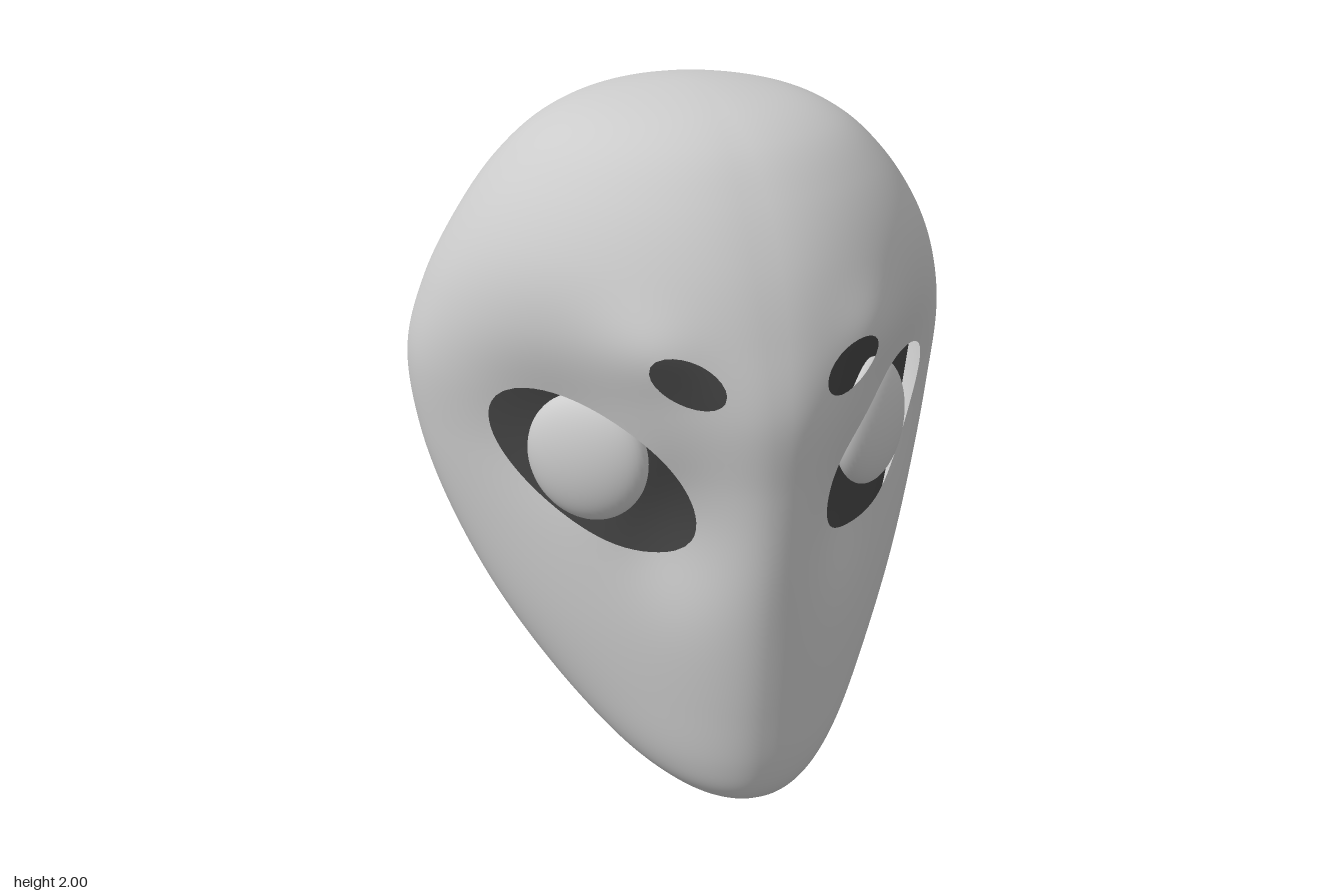
import * as THREE from 'three';
import { mergeVertices } from 'three/addons/utils/BufferGeometryUtils.js';

// Horizontal sections: [height, half width, front z, back z, z of widest point, front roundness]
const ROWS = [
  [0, 0, 0.48, 0.48, 0.48, 1.75],
  [0.012, 0.105, 0.57, 0.37, 0.46, 1.75],
  [0.06, 0.215, 0.63, 0.19, 0.4, 1.7],
  [0.16, 0.34, 0.665, -0.05, 0.3, 1.55],
  [0.34, 0.487, 0.69, -0.32, 0.16, 1.38],
  [0.56, 0.622, 0.715, -0.535, 0.04, 1.26],
  [0.8, 0.725, 0.74, -0.67, -0.05, 1.18],
  [1.02, 0.785, 0.752, -0.738, -0.1, 1.19],
  [1.24, 0.805, 0.758, -0.76, -0.11, 1.27],
  [1.44, 0.757, 0.705, -0.722, -0.08, 1.45],
  [1.62, 0.672, 0.63, -0.645, -0.04, 1.62],
  [1.78, 0.56, 0.525, -0.535, -0.02, 1.72],
  [1.9, 0.425, 0.4, -0.405, 0, 1.75],
  [1.97, 0.25, 0.235, -0.235, 0, 1.75],
  [2, 0, 0, 0, 0, 1.75],
];

// Openings seen from the front: centre, semi-axes and tilt, mirrored in x
const HOLES = [
  { x: 0.423, y: 1.027, a: 0.28, b: 0.155, tilt: 0.74 },
  { x: 0.235, y: 1.345, a: 0.1, b: 0.06, tilt: 0.5 },
];

const mirrorRow = ([y, w, f, b, c, p]) => [y, -w, b, f, c, p];

// Smooth section at row position s; mirrored end rows keep crown and chin round
function sectionAt(s) {
  const n = ROWS.length - 1;
  const i = Math.min(Math.floor(s), n - 1);
  const t = s - i;
  const p0 = i > 0 ? ROWS[i - 1] : mirrorRow(ROWS[1]);
  const p3 = i + 2 <= n ? ROWS[i + 2] : mirrorRow(ROWS[n - 1]);
  return ROWS[i].map((p1, k) => {
    const p2 = ROWS[i + 1][k];
    const m1 = (p2 - p0[k]) / 2, m2 = (p3[k] - p1) / 2;
    return p1 + m1 * t + (3 * (p2 - p1) - 2 * m1 - m2) * t * t
      + (2 * (p1 - p2) + m1 + m2) * t * t * t;
  });
}

const bump = (...d) => Math.exp(-d.reduce((sum, v) => sum + v * v, 0));

// Superellipse coordinate with its corners softened
function soften(value, p) {
  const e = 0.12, k = Math.sqrt(1 + e * e) - e;
  const u = Math.pow(value, 2 / p) * k + e;
  return Math.sqrt(Math.max(0, u * u - e * e));
}

function headPoint([y, w, front, back, mid, round], angle) {
  const sn = Math.abs(Math.sin(angle)), cs = Math.abs(Math.cos(angle));
  const isFront = Math.cos(angle) >= 0;
  const p = isFront ? round : 1.37 + 0.35 * (y - 1) * (y - 1);
  let x = w * soften(sn, p);
  let z = mid + ((isFront ? front : back) - mid) * soften(cs, p);
  if (isFront) {
    // Grooves beside the centre ridge, and brows above the eyes
    z -= 0.07 * bump((x - 0.26) / 0.12, (y - 0.89) / 0.2);
    z += 0.035 * bump((x - 0.33) / 0.13, (y - 1.42) / 0.12);
    // Hollows around the eyes
    const d = 0.055 * bump((x - 0.52) / 0.24, (y - 1.14) / 0.22, (z - 0.38) / 0.28);
    x -= d * 0.7;
    z -= d * 0.7;
  }
  return new THREE.Vector3(Math.sign(Math.sin(angle)) * x, y, z);
}

// Positive outside every opening, negative inside
function holeField(v) {
  if (v.z < 0) return 1;
  return Math.min(...HOLES.map(({ x, y, a, b, tilt }) => {
    const dx = Math.abs(v.x) - x, dy = v.y - y;
    const c = Math.cos(tilt), s = Math.sin(tilt);
    return Math.hypot((dx * c + dy * s) / a, (dy * c - dx * s) / b) - 1;
  }));
}

// Head surface; field gives the part to keep (positive values)
function createSkin(rows, cols, field) {
  const grid = [];
  for (let i = 0; i <= rows; i++) {
    const section = sectionAt((i / rows) * (ROWS.length - 1));
    for (let j = 0; j < cols; j++) {
      const v = headPoint(section, (j / cols) * Math.PI * 2);
      grid.push({ v, h: field(v) });
    }
  }
  const out = [];
  // Keep only the part of each triangle outside the openings
  const addClipped = (tri) => {
    const poly = [];
    tri.forEach((p, i) => {
      const q = tri[(i + 1) % 3];
      if (p.h >= 0) poly.push(p.v);
      if (p.h >= 0 !== q.h >= 0) poly.push(p.v.clone().lerp(q.v, p.h / (p.h - q.h)));
    });
    for (let i = 1; i + 1 < poly.length; i++) {
      for (const v of [poly[0], poly[i], poly[i + 1]]) out.push(v.x, v.y, v.z);
    }
  };
  for (let i = 0; i < rows; i++) {
    for (let j = 0; j < cols; j++) {
      const at = (r, c) => grid[r * cols + (c % cols)];
      const a = at(i, j), b = at(i, j + 1), c = at(i + 1, j + 1), d = at(i + 1, j);
      if (i > 0) addClipped([a, b, c]);
      if (i < rows - 1) addClipped([a, c, d]);
    }
  }
  // Chin fan
  for (let j = 0; j < cols; j++) addClipped([grid[0], grid[cols + ((j + 1) % cols)], grid[cols + j]]);
  const geometry = new THREE.BufferGeometry();
  geometry.setAttribute('position', new THREE.Float32BufferAttribute(out, 3));
  const merged = mergeVertices(geometry, 1e-5);
  merged.computeVertexNormals();
  return merged;
}

// Closed inner layer, a fixed depth below the outer surface
function createLining(depth) {
  const geometry = createSkin(98, 128, () => 1);
  const { position, normal } = geometry.attributes;
  const v = new THREE.Vector3(), n = new THREE.Vector3();
  for (let i = 0; i < position.count; i++) {
    v.fromBufferAttribute(position, i).addScaledVector(n.fromBufferAttribute(normal, i), -depth);
    position.setXYZ(i, v.x, v.y, v.z);
  }
  return geometry;
}

export function createModel() {
  const group = new THREE.Group();
  group.name = 'head';

  const shell = new THREE.Mesh(
    createSkin(154, 192, holeField),
    new THREE.MeshStandardMaterial({ color: 0xcccccc, side: THREE.DoubleSide }),
  );
  shell.name = 'headShell';
  group.add(shell);

  // Dark layer seen through the openings
  const lining = new THREE.Mesh(createLining(0.07), new THREE.MeshStandardMaterial({ color: 0x444444 }));
  lining.name = 'innerLining';
  group.add(lining);

  // Flattened eyeballs facing diagonally outward
  const eyeMaterial = new THREE.MeshStandardMaterial({ color: 0xcccccc });
  const eyeGeometry = new THREE.SphereGeometry(1, 48, 32).scale(0.185, 0.185, 0.08);
  for (const side of [1, -1]) {
    const eye = new THREE.Mesh(eyeGeometry, eyeMaterial);
    eye.name = side > 0 ? 'leftEye' : 'rightEye';
    eye.position.set(side * 0.422, 1.05, 0.36);
    eye.rotation.y = (side * Math.PI) / 4;
    group.add(eye);
  }
  return group;
}
